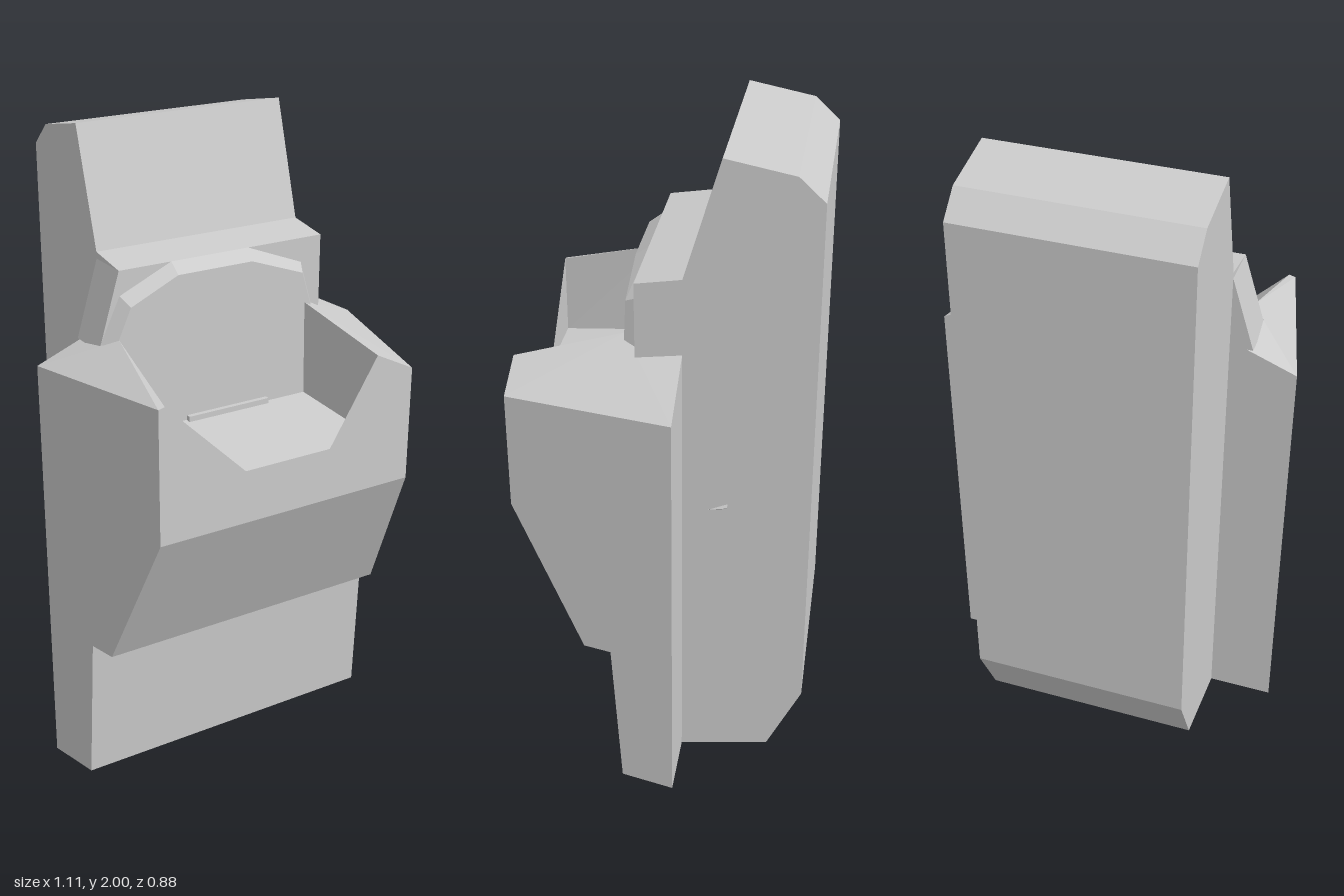
import * as THREE from 'three';

const material = new THREE.MeshStandardMaterial({ color: 0xcccccc, flatShading: true, side: THREE.DoubleSide });

// Mesh from convex polygons, corners counter-clockwise seen from outside
function polygonMesh(name, polygons) {
  const positions = [];
  for (const p of polygons) {
    for (let i = 1; i < p.length - 1; i++) positions.push(...p[0], ...p[i], ...p[i + 1]);
  }
  const geometry = new THREE.BufferGeometry();
  geometry.setAttribute('position', new THREE.Float32BufferAttribute(positions, 3));
  geometry.computeVertexNormals();
  return named(name, geometry);
}

function named(name, geometry) {
  const mesh = new THREE.Mesh(geometry, material);
  mesh.name = name;
  return mesh;
}

const toShape = (points) => new THREE.Shape(points.map(([x, y]) => new THREE.Vector2(x, y)));

// Flat outline in x and y, set at a depth z
function plate(name, points, z, faceBack = false) {
  const geometry = new THREE.ShapeGeometry(toShape(points));
  if (faceBack) {
    geometry.rotateY(Math.PI);
    geometry.scale(1, 1, 1);
  }
  return named(name, geometry.translate(0, 0, z));
}

// Half width of the tapered front body at depth z
const BACK = -0.055, FRONT = 0.44;
const halfWidth = (z) => 0.553 - 0.123 * (z - BACK) / (FRONT - BACK);

function createBody() {
  const body = new THREE.Group();
  body.name = 'frontBody';

  // Skirt, step and sloping belly: rows of [y, z]
  const rows = [[0, 0.11], [0.48, 0.14], [0.48, 0.225], [0.94, FRONT]];
  const faces = [];
  for (let i = 0; i < rows.length - 1; i++) {
    const [y0, z0] = rows[i], [y1, z1] = rows[i + 1];
    const a = halfWidth(z0), b = halfWidth(z1), w = halfWidth(BACK);
    faces.push([[-a, y0, z0], [a, y0, z0], [b, y1, z1], [-b, y1, z1]]);
    if (y1 > y0) {
      faces.push([[a, y0, z0], [w, y0, BACK], [w, y1, BACK], [b, y1, z1]]);
      faces.push([[-w, y0, BACK], [-a, y0, z0], [-b, y1, z1], [-w, y1, BACK]]);
    }
  }
  const w = halfWidth(BACK), f = halfWidth(FRONT), a = halfWidth(0.11);
  // Upper sides
  faces.push([[f, 0.94, FRONT], [w, 0.94, BACK], [w, 1.31, BACK], [f, 1.30, FRONT]]);
  faces.push([[-w, 0.94, BACK], [-f, 0.94, FRONT], [-f, 1.355, FRONT], [-w, 1.34, BACK]]);
  // Underside
  faces.push([[-w, 0, BACK], [w, 0, BACK], [a, 0, 0.11], [-a, 0, 0.11]]);
  body.add(polygonMesh('bodyShell', faces));

  // Upper front with the notched opening
  body.add(plate('upperFront', [
    [-f, 0.94], [f, 0.94], [f, 1.30], [0.30, 1.365], [0.14, 1.105],
    [-0.15, 1.105], [-0.41, 1.36], [-f, 1.355],
  ], FRONT));

  // Rear face, outline mirrored by the half turn
  body.add(plate('bodyRear', [
    [-w, 0], [w, 0], [w, 1.34], [0.35, 1.42], [-0.34, 1.42], [-w, 1.31],
  ], BACK, true));

  // Sloping shoulders
  body.add(polygonMesh('leftShoulder', [
    [[0.26, 1.44, 0.12], [0.30, 1.365, FRONT], [f, 1.30, FRONT], [w, 1.31, BACK]],
    [[0.26, 1.44, 0.12], [w, 1.31, BACK], [0.34, 1.42, BACK]],
  ]));
  body.add(polygonMesh('rightShoulder', [
    [[-0.375, 1.44, 0.12], [-w, 1.34, BACK], [-f, 1.355, FRONT], [-0.41, 1.36, FRONT]],
    [[-0.375, 1.44, 0.12], [-0.35, 1.42, BACK], [-w, 1.34, BACK]],
  ]));
  return body;
}

// Hollow behind the notch: floor and two side walls
function createRecess() {
  const recess = new THREE.Group();
  recess.name = 'recess';
  recess.add(polygonMesh('recessFloor', [
    [[-0.41, 1.105, FRONT], [0.30, 1.105, FRONT], [0.265, 1.145, 0.12], [-0.365, 1.145, 0.12]],
  ]));
  recess.add(polygonMesh('recessWalls', [
    [[-0.41, 1.105, FRONT], [-0.365, 1.145, 0.12], [-0.375, 1.44, 0.12], [-0.41, 1.36, FRONT]],
    [[0.265, 1.145, 0.12], [0.30, 1.105, FRONT], [0.30, 1.365, FRONT], [0.26, 1.44, 0.12]],
  ]));
  const ledge = named('recessLedge', new THREE.BoxGeometry(0.28, 0.02, 0.02));
  ledge.position.set(-0.015, 1.15, 0.125);
  recess.add(ledge);
  return recess;
}

// Collar behind the recess with a bevelled front panel
function createCollar() {
  const collar = new THREE.Group();
  collar.name = 'collar';
  const block = toShape([[-0.42, 1.40], [0.34, 1.40], [0.34, 1.63], [-0.35, 1.63]]);
  collar.add(named('collarBlock',
    new THREE.ExtrudeGeometry(block, { depth: 0.135, bevelEnabled: false }).translate(0, 0, BACK)));

  const outer = [[0.31, 1.42], [0.27, 1.555], [0.08, 1.63], [-0.18, 1.63], [-0.35, 1.555], [-0.415, 1.42]];
  const inner = [[0.285, 1.42], [0.25, 1.535], [0.07, 1.60], [-0.18, 1.60], [-0.335, 1.53], [-0.385, 1.42]];
  const bevel = [];
  for (let i = 0; i < outer.length - 1; i++) {
    bevel.push([
      [...inner[i], 0.12], [...outer[i], 0.08], [...outer[i + 1], 0.08], [...inner[i + 1], 0.12],
    ]);
  }
  collar.add(polygonMesh('collarBevel', bevel));
  collar.add(plate('collarPanel', [[-0.365, 1.145], [0.265, 1.145], ...inner], 0.12));
  return collar;
}

// Tall rear block: side profile of [z, y] extruded across x
function createRearBlock() {
  const profile = toShape([
    [BACK, 0], [-0.33, 0.035], [-0.435, 0.25], [-0.435, 1.89],
    [-0.36, 1.96], [-0.16, 2.0], [BACK, 1.65], [0.08, 1.63], [BACK, 1.62],
  ]);
  const geometry = new THREE.ExtrudeGeometry(profile, { depth: 0.69, bevelEnabled: false });
  return named('rearBlock', geometry.rotateY(-Math.PI / 2).translate(0.34, 0, 0));
}

export function createModel() {
  const model = new THREE.Group();
  model.name = 'blockModel';
  model.add(createBody(), createRecess(), createCollar(), createRearBlock());

  // Small spur on the side of the rear block
  model.add(polygonMesh('sideSpur', [
    [[0.338, 0.94, -0.19], [0.35, 0.93, -0.19], [0.338, 0.91, -0.12]],
    [[0.35, 0.93, -0.19], [0.338, 0.92, -0.19], [0.338, 0.91, -0.12]],
  ]));
  return model;
}
